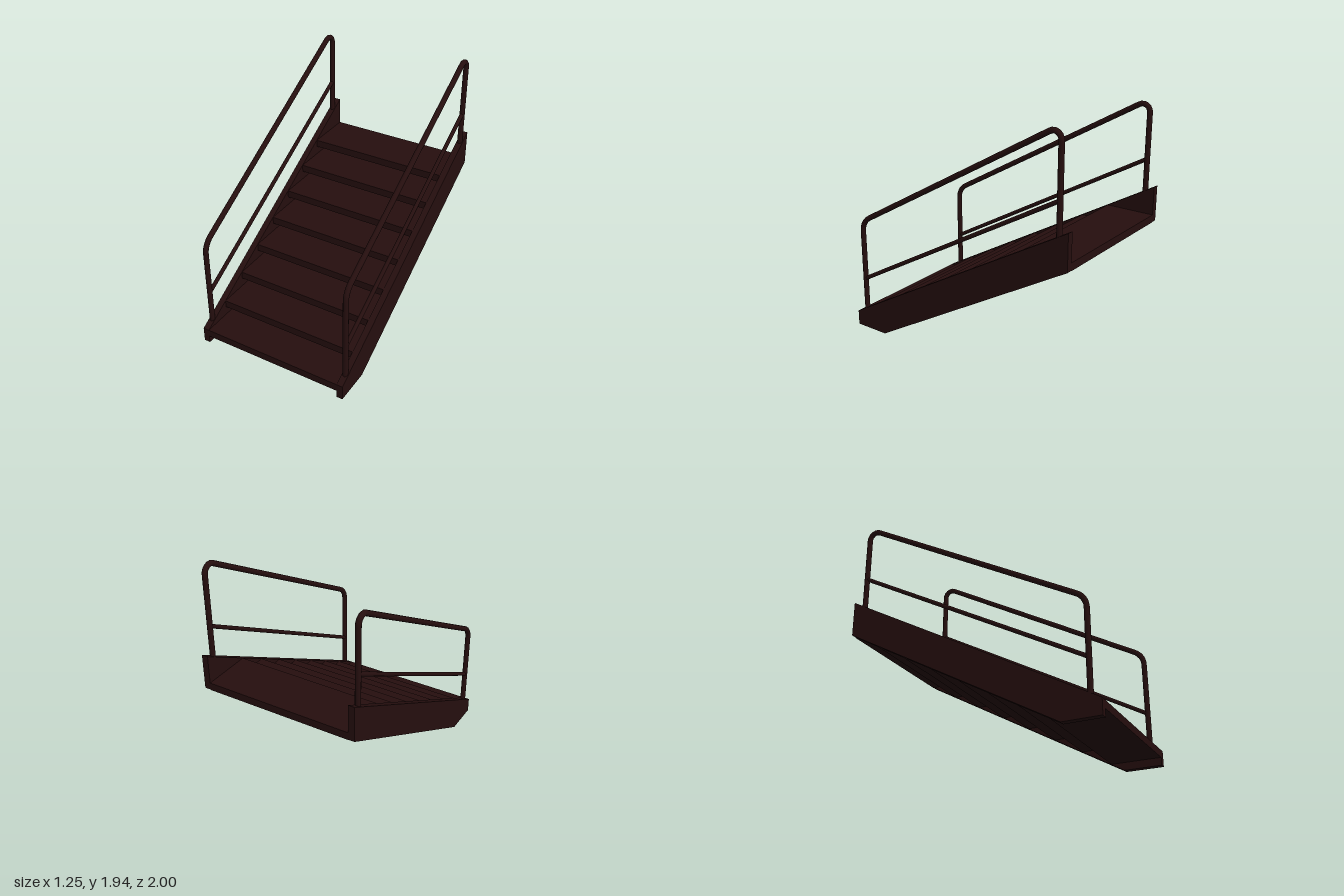
import * as THREE from 'three';

const V = (x, y, z) => new THREE.Vector3(x, y, z);

// Adds a rounded bend at a corner: tangent length d, handle = share of d for a circular arc
function addBend(path, from, corner, to, d, handle) {
  const a = from.clone().sub(corner).normalize();
  const b = to.clone().sub(corner).normalize();
  const at = (dir, s) => corner.clone().addScaledVector(dir, s);
  path.add(new THREE.CubicBezierCurve3(
    at(a, d), at(a, d * (1 - handle)), at(b, d * (1 - handle)), at(b, d)));
  return [at(a, d), at(b, d)];
}

export function createModel() {
  const group = new THREE.Group();
  const paint = new THREE.MeshStandardMaterial({ color: 0x250e0e });
  paint.name = 'dark brown paint';

  const add = (name, geometry) => {
    const mesh = new THREE.Mesh(geometry, paint);
    mesh.name = name;
    group.add(mesh);
    return mesh;
  };

  // Stringer outline, drawn in (-z, y) and turned to face sideways
  const outline = new THREE.Shape([
    [-1, 0], [-0.71, 0], [1, 0.98], [1, 1.26], [-1, 0.12],
  ].map(([u, v]) => new THREE.Vector2(u, v)));
  const stringer = new THREE.ExtrudeGeometry(outline, { depth: 0.05, bevelEnabled: false });
  stringer.translate(0, 0, -0.025).rotateY(Math.PI / 2);

  // Handrail: front post, sloping rail and back post in one bent pipe
  function handrailGeometry(x, drop) {
    const z = 0.915;
    const frontFoot = V(x, 0.12, z), frontTop = V(x, 0.913 - drop, z);
    const backTop = V(x, 1.962 - drop, -z), backFoot = V(x, 1.15, -z);
    const bends = new THREE.CurvePath();
    const [f0, f1] = addBend(bends, frontFoot, frontTop, backTop, 0.08, 0.619);
    const [b0, b1] = addBend(bends, frontTop, backTop, backFoot, 0.1, 0.444);
    const points = [frontFoot, ...bends.curves[0].getPoints(8),
      ...bends.curves[1].getPoints(12), backFoot];
    const path = new THREE.CurvePath();
    for (let i = 1; i < points.length; i++) path.add(new THREE.LineCurve3(points[i - 1], points[i]));
    return new THREE.TubeGeometry(path, 160, 0.021, 12);
  }

  for (const [side, s, drop] of [['left', 1, 0], ['right', -1, 0.045]]) {
    const x = 0.6 * s;
    add(side + 'Stringer', stringer).position.x = x;
    add(side + 'Handrail', handrailGeometry(x, drop));
    add(side + 'MidRail', new THREE.TubeGeometry(
      new THREE.LineCurve3(V(x, 0.425, 0.915), V(x, 1.46, -0.915)), 1, 0.016, 12));
  }

  // Overlapping treads
  const tread = new THREE.BoxGeometry(1.15, 0.06, 0.39);
  for (let i = 0; i < 8; i++) {
    add('tread' + (i + 1), tread).position.set(0, 0.09 + 0.131 * i, 0.805 - 0.23 * i);
  }

  return group;
}
